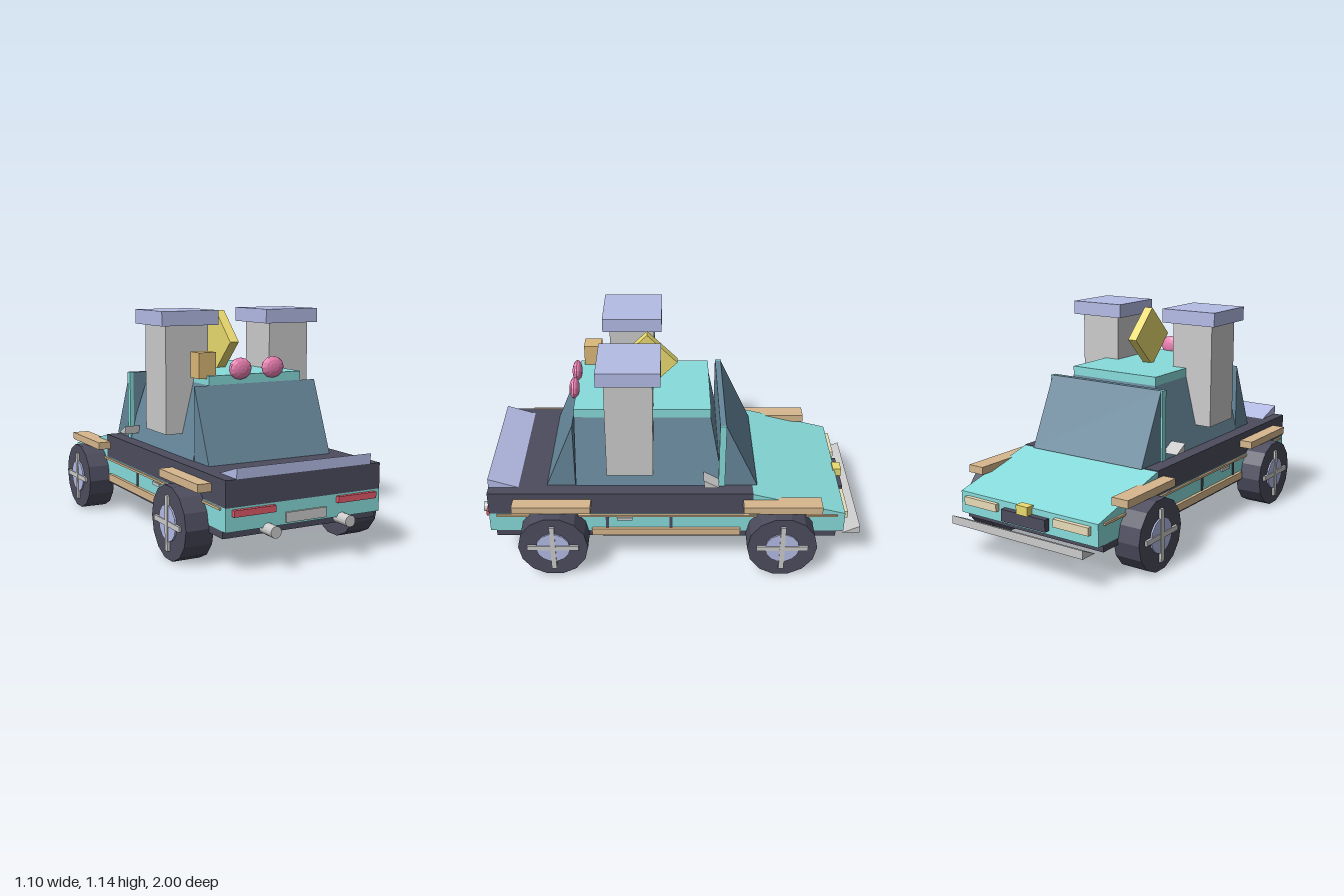
import * as THREE from 'three';

const C = { teal: 0x88dcdc, dark: 0x4c4c5e, glass: 0x66879a, lilac: 0xb4bce6, tan: 0xd8b88e,
  grey: 0xcccccc, yellow: 0xeadb70, pink: 0xee82b4, red: 0xe05a68, cream: 0xe8dcb8, wood: 0xdcb878 };
const mats = {};
for (const k in C) mats[k] = new THREE.MeshStandardMaterial({ color: C[k], flatShading: true });

export function createModel() {
  const car = new THREE.Group();
  car.name = 'car';

  const add = (name, geo, mat, parent = car) => {
    const m = new THREE.Mesh(geo, mats[mat]);
    m.name = name;
    parent.add(m);
    return m;
  };
  // Box given by its extents
  const box = (name, mat, x0, x1, y0, y1, z0, z1, parent) => {
    const m = add(name, new THREE.BoxGeometry(x1 - x0, y1 - y0, z1 - z0), mat, parent);
    m.position.set((x0 + x1) / 2, (y0 + y1) / 2, (z0 + z1) / 2);
    return m;
  };
  // Prism: side outline of [z, y] points, stretched from x0 to x1
  const prism = (name, mat, pts, x0, x1) => {
    const shape = new THREE.Shape(pts.map(([z, y]) => new THREE.Vector2(-z, y)));
    const geo = new THREE.ExtrudeGeometry(shape, { depth: x1 - x0, bevelEnabled: false });
    geo.rotateY(Math.PI / 2).translate(x0, 0, 0);
    return add(name, geo, mat);
  };

  // Body
  box('underbody', 'dark', -0.418, 0.418, 0.16, 0.2, -0.87, 0.9);
  box('lowerBody', 'teal', -0.42, 0.42, 0.195, 0.305, -0.91, 0.93);
  box('upperBody', 'dark', -0.42, 0.42, 0.305, 0.43, -0.43, 0.93);
  prism('hood', 'teal', [[-0.43, 0.3], [-0.43, 0.427], [-0.91, 0.306], [-0.91, 0.3]], -0.42, 0.42);
  prism('spoiler', 'lilac', [[0.93, 0.43], [0.93, 0.48], [0.775, 0.43]], -0.365, 0.365);

  // Cabin: tapered middle between two wedge windscreens
  const mid = new THREE.BoxGeometry(1, 1, 1);
  const p = mid.attributes.position;
  for (let i = 0; i < p.count; i++) {
    const top = p.getY(i) > 0;
    p.setXYZ(i, Math.sign(p.getX(i)) * (top ? 0.26 : 0.348), top ? 0.79 : 0.43,
      p.getZ(i) > 0 ? 0.48 : (top ? -0.21 : -0.28));
  }
  add('cabin', mid, 'glass');
  prism('rearWindscreen', 'glass', [[0.63, 0.43], [0.483, 0.79], [0.483, 0.43]], -0.342, 0.342);
  prism('frontWindscreen', 'glass', [[-0.255, 0.43], [-0.255, 0.79], [-0.285, 0.79], [-0.455, 0.43]], -0.342, 0.342);
  box('roof', 'teal', -0.26, 0.26, 0.79, 0.835, -0.21, 0.48);

  // Roof ornaments
  const fin = add('roofFin', new THREE.BoxGeometry(0.05, 0.22, 0.22), 'yellow');
  fin.position.set(0, 0.975, 0.113);
  fin.rotation.x = Math.PI / 4;
  box('roofBox', 'wood', -0.302, -0.21, 0.82, 0.946, 0.365, 0.457);

  // Rear and front fittings
  box('numberPlate', 'grey', -0.11, 0.11, 0.205, 0.253, 0.92, 0.94);
  box('grille', 'dark', -0.135, 0.135, 0.215, 0.275, -0.94, -0.9);
  box('noseBadge', 'yellow', -0.035, 0.035, 0.272, 0.318, -0.945, -0.9);
  prism('frontBumper', 'grey', [[-1, 0.165], [-1, 0.207], [-0.91, 0.165]], -0.4, 0.4);

  for (const s of [-1, 1]) {
    // Box placed on one side, mirrored by s
    const side = (name, mat, a, b, ...r) => box(name, mat, Math.min(s * a, s * b), Math.max(s * a, s * b), ...r);
    side('chimney', 'grey', 0.178, 0.41, 0.537, 1.07, 0.08, 0.315);
    side('chimneyCap', 'lilac', 0.137, 0.446, 1.07, 1.142, 0.04, 0.35);
    side('pillar', 'teal', 0.332, 0.352, 0.43, 0.79, -0.287, -0.254);
    side('trimStrip', 'tan', 0.41, 0.43, 0.29, 0.301, -0.87, 0.89);
    side('sideSkirt', 'tan', 0.41, 0.437, 0.177, 0.217, -0.37, 0.4);
    side('doorHandle', 'grey', 0.41, 0.43, 0.268, 0.284, 0.19, 0.27);
    for (const z of [-0.01, 0.32]) side('doorSeam', 'dark', 0.41, 0.424, 0.217, 0.29, z - 0.008, z + 0.008);
    side('tailLight', 'red', 0.17, 0.388, 0.265, 0.296, 0.92, 0.95);
    side('headlight', 'cream', 0.175, 0.38, 0.248, 0.288, -0.932, -0.9);
    prism('mirror', 'grey', [[-0.18, 0.467], [-0.175, 0.51], [-0.255, 0.467]],
      s > 0 ? 0.335 : -0.417, s > 0 ? 0.417 : -0.335);

    const pipe = add('exhaust', new THREE.CylinderGeometry(0.028, 0.028, 0.12, 14), 'grey');
    pipe.rotation.x = Math.PI / 2;
    pipe.position.set(s * 0.202, 0.187, 0.94);

    const eye = add('roofLamp', new THREE.SphereGeometry(1, 12, 8).rotateX(Math.PI / 2), 'pink');
    eye.scale.set(0.063, 0.054, 0.026);
    eye.position.set(s * 0.092, 0.864, 0.486);

    // Fenders and wheels
    for (const [z, f0, f1] of [[0.595, 0.4, 0.8], [-0.58, -0.78, -0.38]]) {
      side('fender', 'tan', 0.4, 0.49, 0.355, 0.394, f0, f1);
      const wheel = new THREE.Group();
      wheel.name = 'wheel';
      wheel.position.set(s * 0.465, 0.177, z);
      wheel.rotation.y = s > 0 ? 0 : Math.PI;
      const disc = (name, mat, r, w, x) => {
        const geo = new THREE.CylinderGeometry(r, r, w, 14).rotateZ(Math.PI / 2);
        add(name, geo, mat, wheel).position.x = x;
      };
      disc('tyre', 'dark', 0.18, 0.142, 0);
      disc('hub', 'lilac', 0.088, 0.03, 0.064);
      box('spokeUpright', 'grey', 0.06, 0.084, -0.132, 0.132, -0.013, 0.013, wheel);
      box('spokeLevel', 'grey', 0.06, 0.083, -0.013, 0.013, -0.132, 0.132, wheel);
      car.add(wheel);
    }
  }
  return car;
}
